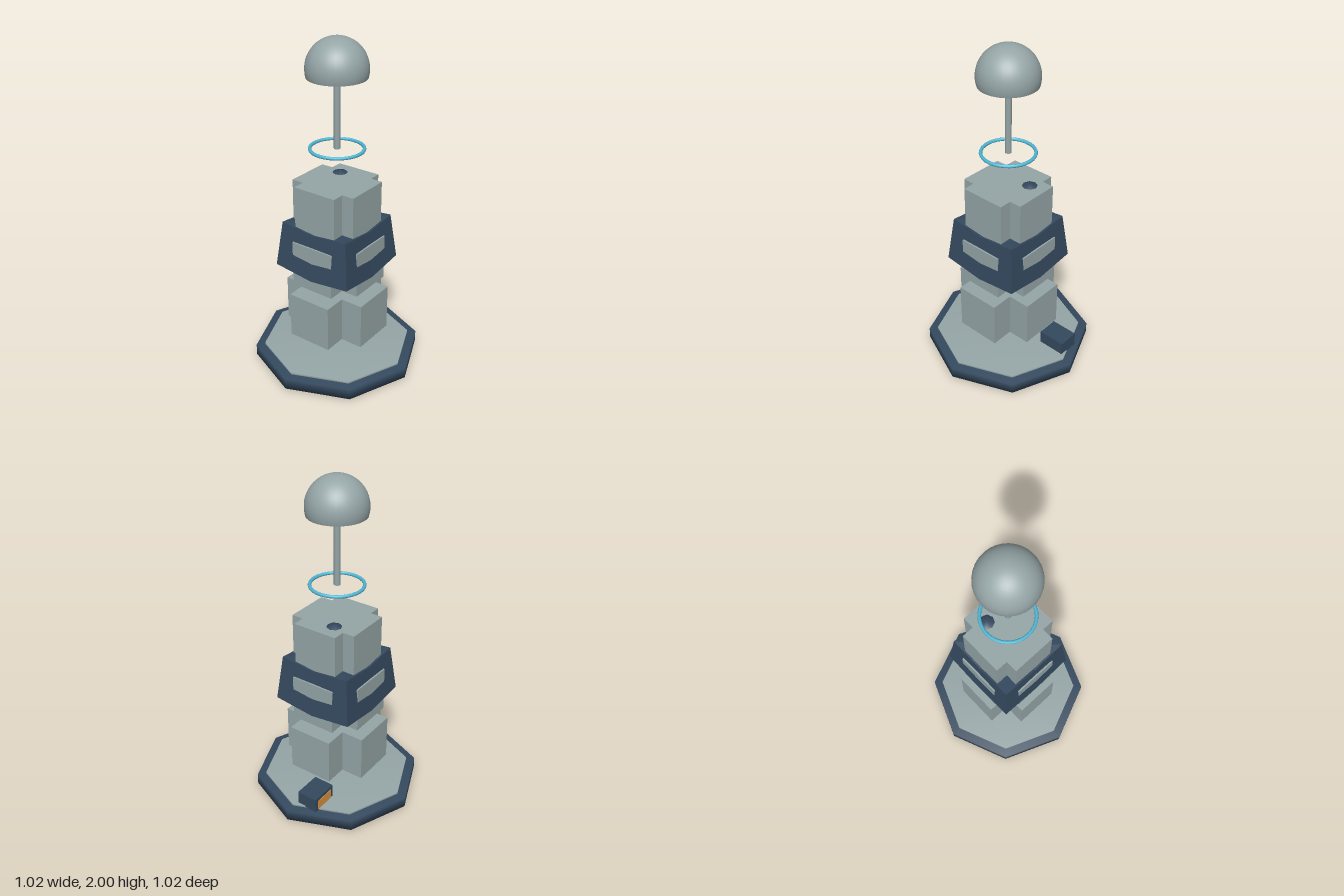
import * as THREE from 'three';
import { mergeVertices } from 'three/addons/utils/BufferGeometryUtils.js';

const mat = (name, color, side = THREE.FrontSide) => {
  const m = new THREE.MeshStandardMaterial({ color, side });
  m.name = name;
  return m;
};

// Octagonal slab whose normals are shared between cap and side
function softSlab(radius, height) {
  let g = new THREE.CylinderGeometry(radius, radius, height, 8);
  g.deleteAttribute('normal');
  g.deleteAttribute('uv');
  g = mergeVertices(g);
  g.computeVertexNormals();
  return g;
}

// Upright block with a plus-shaped plan; arms reach r, half width w
function plusBlock(r, w, height) {
  const quarter = [[r, -w], [r, w], [w, w]];
  const pts = [];
  for (let k = 0; k < 4; k++) {
    for (const [x, y] of quarter) {
      const p = new THREE.Vector2(x, y);
      pts.push(p.rotateAround(new THREE.Vector2(), k * Math.PI / 2));
    }
  }
  const g = new THREE.ExtrudeGeometry(new THREE.Shape(pts), { depth: height, bevelEnabled: false });
  return g.rotateX(-Math.PI / 2);
}

// Tapered square collar whose edges dip in the middle of each side
function collarGeometry() {
  const ring = (r, yMid, yCorner) => Array.from({ length: 8 }, (_, i) => {
    const a = i * Math.PI / 4;
    const s = i % 2 ? r * Math.SQRT2 : r;
    return [Math.sin(a) * s, i % 2 ? yCorner : yMid, Math.cos(a) * s];
  });
  const low = ring(0.257, 0.615, 0.645), high = ring(0.226, 0.9, 0.925);
  const lowMid = [0, 0.615, 0], highMid = [0, 0.9, 0];
  const pos = [];
  for (let i = 0; i < 8; i++) {
    const j = (i + 1) % 8;
    pos.push(...low[i], ...low[j], ...high[j], ...low[i], ...high[j], ...high[i]);
    pos.push(...highMid, ...high[i], ...high[j], ...lowMid, ...low[j], ...low[i]);
  }
  const g = new THREE.BufferGeometry();
  g.setAttribute('position', new THREE.Float32BufferAttribute(pos, 3));
  g.computeVertexNormals();
  return g;
}

export function createModel() {
  const grey = mat('pale grey', 0x95a5a6, THREE.DoubleSide);
  const navy = mat('dark slate blue', 0x34495e);
  const cyan = mat('cyan', 0x4fb8d6);
  const orange = mat('orange', 0xd9913f);

  const group = new THREE.Group();
  const add = (name, geometry, material, x = 0, y = 0, z = 0) => {
    const m = new THREE.Mesh(geometry, material);
    m.name = name;
    m.position.set(x, y, z);
    group.add(m);
    return m;
  };

  // Base
  add('baseSlab', softSlab(0.51, 0.07), navy, 0, 0.035, 0);
  add('floorPlate', softSlab(0.455, 0.03), grey, 0, 0.068, 0);

  // Control box with a panel on its back
  add('controlBox', new THREE.BoxGeometry(0.17, 0.09, 0.13), navy, 0.34, 0.12, -0.085);
  add('controlPanel', new THREE.BoxGeometry(0.125, 0.06, 0.006), orange, 0.34, 0.115, -0.151);

  // Stacked tower blocks, each narrower than the one below
  const tiers = [['lowerBlock', 0.278, 0.203, 0.283], ['middleBlock', 0.245, 0.545, 0.28], ['upperBlock', 0.215, 0.885, 0.28]];
  for (const [name, reach, y, height] of tiers) add(name, plusBlock(reach, 0.14, height), grey, 0, y, 0);

  // Collar around the middle block
  add('collar', collarGeometry(), navy);

  // Ball sunk into the upper block
  add('sunkenBall', new THREE.SphereGeometry(0.086, 8, 6), navy, 0.11, 1.093, -0.06);

  // Glowing ring, mast and dome
  add('ring', new THREE.TorusGeometry(0.155, 0.01, 8, 32).rotateX(Math.PI / 2), cyan, 0, 1.365, 0);
  add('mast', new THREE.CylinderGeometry(0.019, 0.019, 0.46, 12), grey, 0, 1.595, 0);
  add('dome', new THREE.SphereGeometry(0.177, 32, 16, 0, Math.PI * 2, 0, Math.PI * 0.585), grey, 0, 1.823, 0);

  return group;
}
